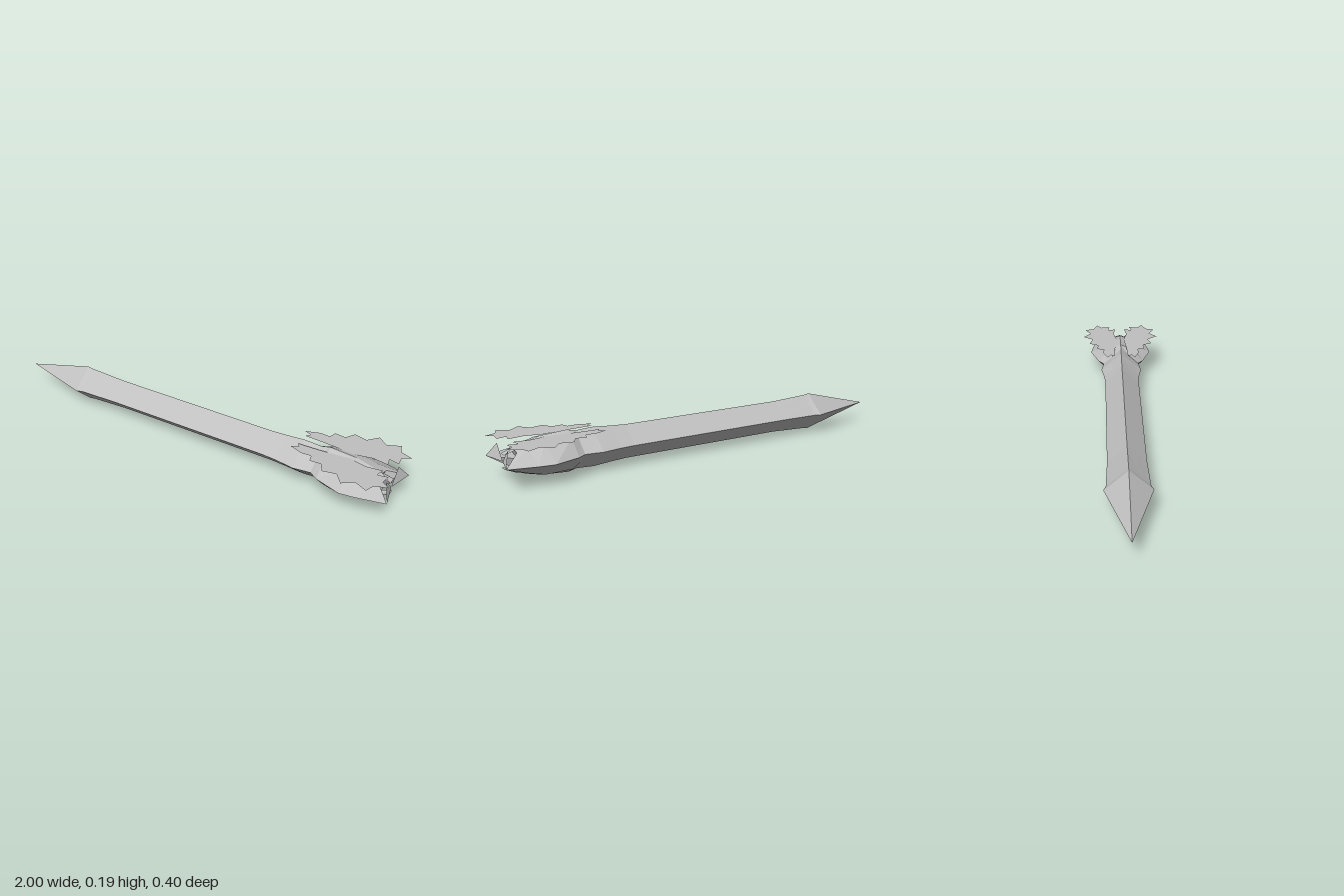
import * as THREE from 'three';

const MID = 0.094; // height of the long axis

const grey = new THREE.MeshStandardMaterial({ color: 0xc0c0c0, flatShading: true, side: THREE.DoubleSide });
grey.name = 'light grey';

function meshFromTriangles(name, triangles) {
  const geometry = new THREE.BufferGeometry();
  geometry.setAttribute('position', new THREE.Float32BufferAttribute(triangles.flat(2), 3));
  geometry.computeVertexNormals();
  const mesh = new THREE.Mesh(geometry, grey);
  mesh.name = name;
  return mesh;
}

// Eight-point ring: ridge, shoulder, side, and their mirrors
function ring({ x, w, h, sz = w / 2, sy = h / 2, sideX = x }) {
  return [
    [x, h, 0], [x, sy, sz], [sideX, 0, w], [x, -sy, sz],
    [x, -h, 0], [x, -sy, -sz], [sideX, 0, -w], [x, sy, -sz],
  ].map(([px, py, pz]) => [px, MID + py, pz]);
}

// Loft rings running along +x
function loft(name, sections) {
  const rings = sections.map(ring);
  const triangles = [];
  for (let s = 0; s < rings.length - 1; s++) {
    for (let i = 0; i < 8; i++) {
      const j = (i + 1) % 8;
      const a = rings[s][i], b = rings[s][j], c = rings[s + 1][i], d = rings[s + 1][j];
      triangles.push([a, b, c], [b, d, c]);
    }
  }
  return meshFromTriangles(name, triangles);
}

export function createModel() {
  const model = new THREE.Group();
  model.name = 'spikedBolt';

  // Pointed tip
  model.add(loft('tip', [
    { x: -1, w: 0.0005, h: 0.0005 },
    { x: -0.64, w: 0.102, h: 0.09 },
    { x: -0.61, w: 0.092, h: 0.086 },
  ]));

  // Diamond shaft with slightly flared ends
  model.add(loft('shaft', [
    { x: -0.61, w: 0.092, h: 0.086 },
    { x: -0.42, w: 0.085, h: 0.077 },
    { x: 0.4, w: 0.085, h: 0.077 },
    { x: 0.47, w: 0.09, h: 0.081 },
  ]));

  // Faceted, swollen tail
  const last = { x: 0.92, w: 0.12, h: 0.05, sz: 0.045, sy: 0.04, sideX: 0.995 };
  model.add(loft('tail', [
    { x: 0.47, w: 0.09, h: 0.081 },
    { x: 0.56, w: 0.104, h: 0.088 },
    { x: 0.64, w: 0.092, h: 0.084 },
    { x: 0.68, w: 0.12, h: 0.093, sz: 0.05, sy: 0.068 },
    { x: 0.8, w: 0.16, h: 0.085, sz: 0.05, sy: 0.071 },
    { x: 0.87, w: 0.15, h: 0.068, sz: 0.05, sy: 0.054 },
    last,
  ]));

  // Hollow end cap
  const rim = ring(last);
  const centre = [0.9, MID, 0];
  model.add(meshFromTriangles('tailEnd', rim.map((p, i) => [centre, p, rim[(i + 1) % 8]])));

  // Toothed flat plates, one each side of the ridge
  const outline = [
    [0.527, 0.07], [0.59, 0.093], [0.635, 0.09], [0.645, 0.125], [0.695, 0.12], [0.72, 0.165],
    [0.78, 0.15], [0.82, 0.2], [0.868, 0.162], [0.925, 0.19], [0.94, 0.145], [0.995, 0.125],
    [0.96, 0.1], [0.965, 0.055], [0.92, 0.065], [0.93, 0.025], [0.86, 0.035], [0.78, 0.018],
    [0.68, 0.028], [0.62, 0.032], [0.545, 0.035], [0.56, 0.055],
  ];
  for (const side of [1, -1]) {
    const shape = new THREE.Shape(outline.map(([x, z]) => new THREE.Vector2(x, z * side)));
    const plate = new THREE.Mesh(new THREE.ShapeGeometry(shape), grey);
    plate.name = side > 0 ? 'frontToothedPlate' : 'backToothedPlate';
    plate.rotation.x = -Math.PI / 2;
    plate.scale.y = -1;
    plate.position.y = 0.177;
    // Keep the plate's face pointing up after mirroring
    plate.geometry.scale(1, -1, 1);
    plate.scale.y = 1;
    model.add(plate);

    // Raised triangular end spike
    model.add(meshFromTriangles(side > 0 ? 'frontEndSpike' : 'backEndSpike', [
      side > 0
        ? [[0.963, 0.157, 0.065], [0.995, MID, 0.12], [0.965, MID, 0]]
        : [[0.963, 0.157, -0.065], [0.965, MID, 0], [0.995, MID, -0.12]],
    ]));
  }

  // Small upper and lower fins in the middle of the tail
  for (const v of [1, -1]) {
    const at = (x, y, z) => [x, MID + v * y, z * v];
    const top = at(0.76, 0.088, 0), tip = at(0.915, 0.055, 0);
    const a = at(0.965, 0.03, 0.02), b = at(0.965, 0.03, -0.02);
    model.add(meshFromTriangles(v > 0 ? 'upperFin' : 'lowerFin', [
      [top, a, tip], [top, tip, b], [tip, a, b],
    ]));
  }
  return model;
}
